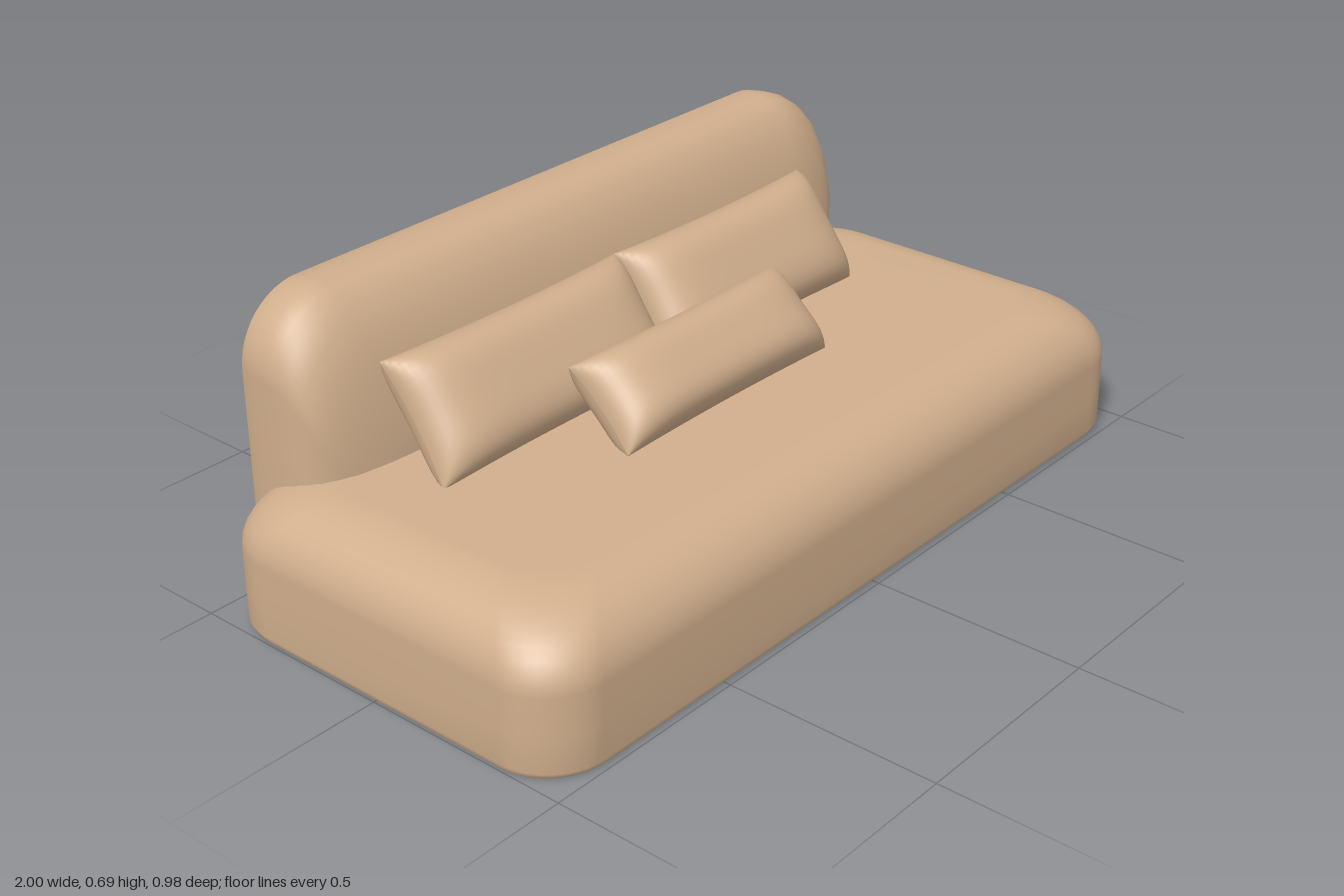
import * as THREE from 'three';

// Skin a list of rings; the first ring gets a crisp cap, the last a smooth one.
function loft(rings, closed) {
  const n = rings[0].length, pos = [], idx = [];
  rings.forEach(r => r.forEach(p => pos.push(...p)));
  const spans = closed ? n : n - 1;
  for (let i = 0; i < rings.length - 1; i++) {
    for (let j = 0; j < spans; j++) {
      const a = i * n + j, b = i * n + (j + 1) % n;
      idx.push(a, a + n, b, b, a + n, b + n);
    }
  }
  const middle = r => [0, 1, 2].map(k => r.reduce((s, p) => s + p[k], 0) / n);
  const last = (rings.length - 1) * n;
  const first = pos.length / 3;
  rings[0].forEach(p => pos.push(...p));
  const c0 = first + n, c1 = c0 + 1;
  pos.push(...middle(rings[0]), ...middle(rings[rings.length - 1]));
  for (let j = 0; j < n; j++) {
    const k = (j + 1) % n;
    idx.push(c0, first + j, first + k, c1, last + k, last + j);
  }
  const g = new THREE.BufferGeometry();
  g.setAttribute('position', new THREE.Float32BufferAttribute(pos, 3));
  g.setIndex(idx);
  g.computeVertexNormals();
  return g;
}

// Horizontal rounded outline of the seat, with a recess behind for the backrest.
function seatRing(inset, y) {
  const r = 0.14, hx = 1 - inset, front = 0.49 - inset, back = -0.465 + inset;
  const ring = [];
  [[1, 1], [-1, 1], [-1, -1], [1, -1]].forEach(([sx, sz], c) => {
    for (let k = 0; k <= 10; k++) {
      const a = (c + k / 10) * Math.PI / 2;
      const cz = sz > 0 ? front - r : back + r;
      ring.push([sx * (hx - r) + r * Math.cos(a), y, cz + r * Math.sin(a)]);
    }
    if (c === 2) {
      for (let k = 1; k < 48; k++) ring.push([(hx - r) * (k / 24 - 1), y, back]);
    }
  });
  return ring.map(([x, , z]) => {
    const limit = -0.40 - 0.07 * THREE.MathUtils.smoothstep(Math.abs(x), 0.79, 0.88);
    return [x, y, Math.max(z, limit)];
  });
}

function seatGeometry() {
  const rings = [seatRing(0.008, 0.004), seatRing(0, 0.02), seatRing(0, 0.1), seatRing(0, 0.19)];
  for (let k = 1; k <= 10; k++) {
    const a = k / 10 * Math.PI / 2;
    rings.push(seatRing(0.16 * (1 - Math.cos(a)), 0.19 + 0.14 * Math.sin(a)));
  }
  rings.push(seatRing(0.3, 0.331));
  return loft(rings, true);
}

// Upright arch outline, from the left foot over the top to the right foot.
function archRing(z, hx, top, r) {
  const ring = [[-hx, 0.013, z], [-hx, (top - r) * 0.6, z]];
  for (let k = 0; k <= 12; k++) {
    const a = Math.PI - k / 12 * Math.PI / 2;
    ring.push([-hx + r + r * Math.cos(a), top - r + r * Math.sin(a), z]);
  }
  const mirrored = ring.map(([x, y]) => [-x, y, z]).reverse();
  return ring.concat(mirrored);
}

function backrestGeometry() {
  // depth, half width, top height, corner radius
  const sections = [
    [-0.49, 0.862, 0.683, 0.15], [-0.483, 0.87, 0.691, 0.16], [-0.45, 0.876, 0.696, 0.165],
    [-0.41, 0.878, 0.699, 0.17], [-0.375, 0.877, 0.69, 0.17], [-0.345, 0.873, 0.67, 0.17],
    [-0.315, 0.862, 0.632, 0.17], [-0.29, 0.845, 0.58, 0.17], [-0.272, 0.82, 0.525, 0.16],
    [-0.255, 0.78, 0.455, 0.15], [-0.243, 0.72, 0.39, 0.13], [-0.236, 0.66, 0.33, 0.12]
  ];
  return loft(sections.map(s => archRing(...s)), false);
}

// One puffed face of a cushion: thin at the seam, full in the middle.
function cushionFace(halfWidth, halfHeight, puff) {
  const g = new THREE.PlaneGeometry(2, 2, 36, 20);
  const p = g.attributes.position;
  for (let i = 0; i < p.count; i++) {
    const u = Math.sin(p.getX(i) * Math.PI / 2), v = Math.sin(p.getY(i) * Math.PI / 2);
    const swell = Math.sqrt(Math.max(0, (1 - u ** 6) * (1 - v ** 4)));
    p.setXYZ(i,
      halfWidth * u * (1 - 0.03 * (1 - v * v)),
      halfHeight * v * (1 - 0.05 * (1 - u * u)),
      puff * swell);
  }
  g.computeVertexNormals();
  return g;
}

export function createModel() {
  const model = new THREE.Group();
  model.name = 'sofa';
  const fabric = new THREE.MeshStandardMaterial({ color: 0xd0ae8c, side: THREE.DoubleSide });
  fabric.name = 'tan fabric';

  const add = (name, geometry, parent = model) => {
    const mesh = new THREE.Mesh(geometry, fabric);
    mesh.name = name;
    parent.add(mesh);
    return mesh;
  };

  add('seat', seatGeometry());
  add('backrest', backrestGeometry());

  // Cushions lean back, seam running from lower front to upper back.
  const cushion = (name, x0, x1, y, z, halfHeight, puff, lean) => {
    const group = new THREE.Group();
    group.name = name;
    const face = cushionFace((x1 - x0) / 2, halfHeight, puff);
    add('cushionFront', face, group);
    add('cushionBack', face, group).rotation.y = Math.PI;
    group.position.set((x0 + x1) / 2, y, z);
    group.rotation.x = -lean;
    model.add(group);
  };
  cushion('rightBackCushion', -0.705, 0, 0.443, -0.168, 0.145, 0.088, 0.62);
  cushion('leftBackCushion', 0, 0.658, 0.443, -0.168, 0.145, 0.088, 0.62);
  cushion('frontCushion', -0.367, 0.302, 0.408, 0.032, 0.112, 0.09, 0.82);

  return model;
}
